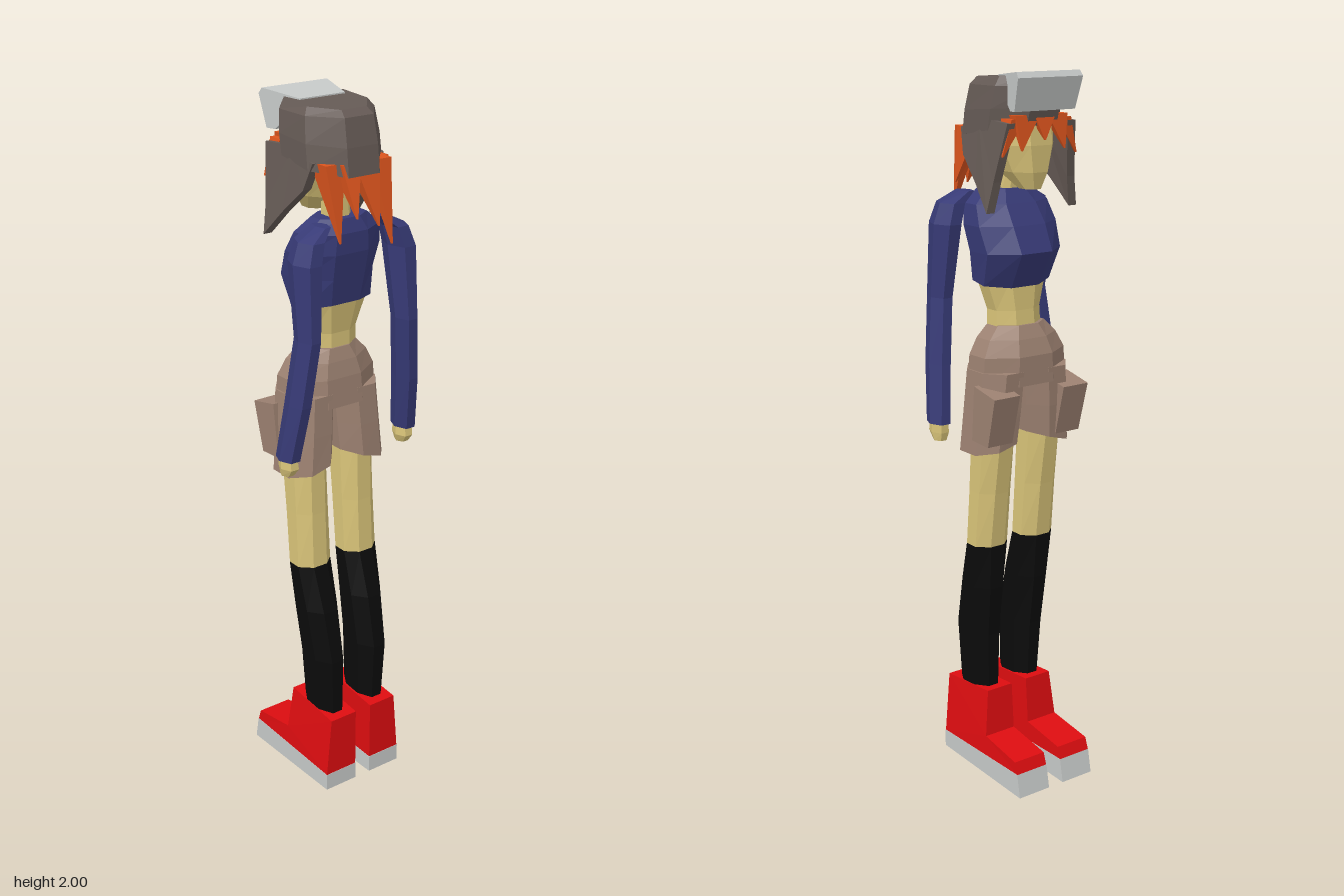
import * as THREE from 'three';

const mat = (name, color) => new THREE.MeshStandardMaterial({ name, color, flatShading: true });
const M = {
  skin: mat('skin', 0xd8c378), navy: mat('navy cloth', 0x373a76), tan: mat('tan cloth', 0x9c8171),
  black: mat('black sock', 0x0b0b0b), red: mat('red shoe', 0xdd0d10), grey: mat('pale grey', 0xc6c9c8),
  hat: mat('hat brown', 0x655a55), hair: mat('orange hair', 0xdb541d),
};

// Cross-section with n corners filling a rectangle; tiltZ and tiltX slope it
function ring(y, x0, x1, z0, z1, n = 8, tiltZ = 0, tiltX = 0) {
  const pts = [];
  const ang = (i) => ((i + 0.5) / n) * Math.PI * 2;
  let mx = 0, mz = 0;
  for (let i = 0; i < n; i++) {
    mx = Math.max(mx, Math.sin(ang(i)));
    mz = Math.max(mz, Math.cos(ang(i)));
  }
  for (let i = 0; i < n; i++) {
    const u = Math.sin(ang(i)) / mx, v = Math.cos(ang(i)) / mz;
    pts.push([(x0 + x1) / 2 + (u * (x1 - x0)) / 2, y + tiltZ * v + tiltX * u, (z0 + z1) / 2 + (v * (z1 - z0)) / 2]);
  }
  return pts;
}

// Capped skin over a stack of rings; s = -1 mirrors it in x
function loft(name, material, rings, s = 1) {
  const rs = rings.map((r) => {
    const p = r.map(([x, y, z]) => [x * s, y, z]);
    return s < 0 ? p.reverse() : p;
  });
  const pos = [];
  const tri = (a, b, c) => pos.push(...a, ...b, ...c);
  const n = rs[0].length;
  for (let k = 0; k + 1 < rs.length; k++) {
    for (let i = 0; i < n; i++) {
      const j = (i + 1) % n;
      tri(rs[k][i], rs[k][j], rs[k + 1][j]);
      tri(rs[k][i], rs[k + 1][j], rs[k + 1][i]);
    }
  }
  // Fan from the first corner, or the last when mirroring reversed the order
  const f = s < 0 ? n - 1 : 0, bot = rs[0], top = rs[rs.length - 1];
  for (let i = 1; i + 1 < n; i++) {
    const a = (f + i) % n, b = (f + i + 1) % n;
    tri(bot[f], bot[b], bot[a]);
    tri(top[f], top[a], top[b]);
  }
  const g = new THREE.BufferGeometry();
  g.setAttribute('position', new THREE.Float32BufferAttribute(pos, 3));
  g.computeVertexNormals();
  const mesh = new THREE.Mesh(g, material);
  mesh.name = name;
  return mesh;
}

// Side outline of [z, y] points given depth in x
function prism(name, material, outline, xin, xout, s = 1) {
  const at = (fn) => outline.map(([z, y]) => [fn(y, z), y, z]);
  return loft(name, material, [at(xin), at(xout)], s);
}

// Tapered lock of hair from a base block to a tip
function lock(name, [x0, x1, z0, z1, y], [tx, ty, tz]) {
  const e = 0.002;
  return loft(name, M.hair, [ring(ty, tx - e, tx + e, tz - e, tz + e, 4), ring(y, x0, x1, z0, z1, 4)]);
}

export function createModel() {
  const model = new THREE.Group();
  const lower = new THREE.Group(), arms = new THREE.Group(), head = new THREE.Group();
  const torso = new THREE.Group(), hair = new THREE.Group();
  lower.name = 'legsAndShorts'; arms.name = 'arms'; head.name = 'head'; torso.name = 'torso'; hair.name = 'hair';
  lower.position.x = -0.01;
  head.position.x = -0.018;
  torso.position.x = -0.004;
  model.add(lower, arms, head, torso, hair);

  for (const s of [1, -1]) {
    const side = s > 0 ? 'left' : 'right';
    // Shoe: sole and upper, straight inside and tapered outside
    lower.add(prism(side + 'Sole', M.grey, [[0.172, 0.065], [0.172, 0.014], [-0.197, 0], [-0.184, 0.068]],
      () => 0.025, () => 0.13, s));
    lower.add(prism(side + 'Shoe', M.red,
      [[-0.03, 0.125], [-0.02, 0.26], [0.172, 0.245], [0.171, 0.065], [-0.184, 0.068], [-0.172, 0.102]],
      () => 0.026, (y) => 0.129 - Math.max(0, y - 0.1) * 0.11, s));
    // Sock and thigh
    lower.add(loft(side + 'Sock', M.black, [
      ring(0.22, 0.032, 0.108, 0.01, 0.143),
      ring(0.42, 0.028, 0.122, 0, 0.15),
      ring(0.57, 0.026, 0.13, -0.018, 0.118),
      ring(0.7, 0.025, 0.135, -0.027, 0.075),
    ], s));
    lower.add(loft(side + 'Thigh', M.skin, [
      ring(0.7, 0.025, 0.135, -0.026, 0.074),
      ring(0.86, 0.025, 0.133, -0.045, 0.066),
      ring(1.06, 0.025, 0.133, -0.075, 0.06),
    ], s));
    // Shorts leg and pocket
    lower.add(loft(side + 'ShortsLeg', M.tan, [
      ring(1.0, 0.014, 0.16, -0.085, 0.09, 8, 0, -0.02),
      ring(1.1, 0.008, 0.15, -0.093, 0.086),
      ring(1.21, 0, 0.142, -0.098, 0.08),
    ], s));
    lower.add(prism(side + 'Pocket', M.tan, [[-0.03, 1.175], [-0.015, 1.02], [-0.088, 1.015], [-0.123, 1.155]],
      () => 0.075, (y) => 0.157 + (y - 1.02) * 0.02, s));
    // Sleeve and hand
    arms.add(loft(side + 'Sleeve', M.navy, [
      ring(1.06, 0.167, 0.225, 0.038, 0.11, 6),
      ring(1.22, 0.15, 0.208, 0.058, 0.138, 6),
      ring(1.4, 0.13, 0.188, 0.075, 0.155, 6),
      ring(1.6, 0.115, 0.189, 0.045, 0.145, 6),
      ring(1.655, 0.1, 0.17, 0.05, 0.135, 6),
      ring(1.685, 0.075, 0.11, 0.055, 0.115, 6),
    ], s));
    arms.add(loft(side + 'Hand', M.skin, [
      ring(1.012, 0.178, 0.214, 0.05, 0.088, 6),
      ring(1.035, 0.17, 0.219, 0.045, 0.105, 6),
      ring(1.07, 0.172, 0.218, 0.045, 0.1, 6),
    ], s));
    // Hat ear flap, splaying outward toward its tip
    const flapX = (y) => 0.112 + Math.max(0, 1.84 - y) * 0.19;
    head.add(prism(side + 'EarFlap', M.hat,
      [[0.02, 1.88], [0.1, 1.85], [0.075, 1.78], [0, 1.71], [-0.065, 1.64], [-0.075, 1.72], [-0.105, 1.87]],
      (y) => flapX(y) - 0.026, flapX, s));
  }

  // Hips of the shorts
  lower.add(loft('shortsHips', M.tan, [
    ring(1.17, -0.14, 0.14, -0.098, 0.083),
    ring(1.25, -0.135, 0.135, -0.096, 0.076),
    ring(1.295, -0.112, 0.112, -0.08, 0.066),
    ring(1.33, -0.078, 0.078, -0.062, 0.054),
  ]));

  // Midriff, cropped jacket and neck
  torso.add(loft('midriff', M.skin, [
    ring(1.31, -0.074, 0.074, -0.058, 0.05),
    ring(1.37, -0.073, 0.073, -0.052, 0.05),
    ring(1.46, -0.1, 0.1, -0.048, 0.066),
  ]));
  torso.add(loft('croppedTop', M.navy, [
    ring(1.445, -0.11, 0.11, -0.053, 0.072, 8, 0.012),
    ring(1.53, -0.122, 0.122, -0.106, 0.086),
    ring(1.6, -0.128, 0.128, -0.072, 0.1),
    ring(1.655, -0.118, 0.118, -0.035, 0.102),
    ring(1.692, -0.075, 0.075, -0.008, 0.09),
  ]));
  torso.add(loft('neck', M.skin, [ring(1.66, -0.04, 0.034, 0, 0.07), ring(1.79, -0.04, 0.025, -0.01, 0.07)]));

  // Face
  head.add(loft('face', M.skin, [
    ring(1.695, -0.026, 0.026, -0.088, -0.02),
    ring(1.74, -0.058, 0.058, -0.1, 0.05),
    ring(1.81, -0.084, 0.084, -0.104, 0.09),
    ring(1.89, -0.086, 0.086, -0.098, 0.1),
  ]));
  // Hat and its turned-up front patch
  head.add(loft('hat', M.hat, [
    ring(1.84, -0.117, 0.117, -0.106, 0.166, 8, -0.022),
    ring(1.9, -0.116, 0.116, -0.118, 0.158, 8, -0.01),
    ring(1.962, -0.108, 0.108, -0.126, 0.143),
    ring(1.984, -0.094, 0.094, -0.118, 0.122, 8, -0.006),
  ]));
  const patchX = (y, z) => 0.07 + (-z - 0.01) * 0.27;
  head.add(prism('hatPatch', M.grey,
    [[-0.01, 1.988], [-0.01, 1.972], [-0.09, 1.9], [-0.118, 1.9], [-0.142, 1.985], [-0.132, 2]],
    (y, z) => -patchX(y, z), patchX));

  // Hair hanging behind: base block, then tip
  [
    [[-0.118, -0.06, 0.07, 0.14, 1.85], [-0.092, 1.655, 0.165]],
    [[-0.08, -0.02, 0.1, 0.155, 1.85], [-0.06, 1.72, 0.193]],
    [[-0.04, 0.04, 0.1, 0.155, 1.85], [0.012, 1.69, 0.188]],
    [[0.02, 0.075, 0.1, 0.155, 1.85], [0.058, 1.635, 0.184]],
    [[0.04, 0.085, 0.04, 0.13, 1.85], [0.085, 1.7, 0.14]],
  ].forEach(([b, t], i) => hair.add(lock('backHair' + i, b, t)));
  // Fringe
  [
    [[-0.115, -0.07, -0.105, -0.06, 1.88], [-0.142, 1.785, -0.092]],
    [[-0.1, -0.035, -0.108, -0.08, 1.89], [-0.088, 1.8, -0.112]],
    [[-0.06, 0.01, -0.11, -0.08, 1.89], [-0.02, 1.825, -0.116]],
    [[-0.01, 0.07, -0.108, -0.08, 1.89], [0.052, 1.8, -0.112]],
    [[0.035, 0.08, -0.105, -0.06, 1.88], [0.1, 1.785, -0.092]],
  ].forEach(([b, t], i) => hair.add(lock('fringe' + i, b, t)));

  return model;
}
